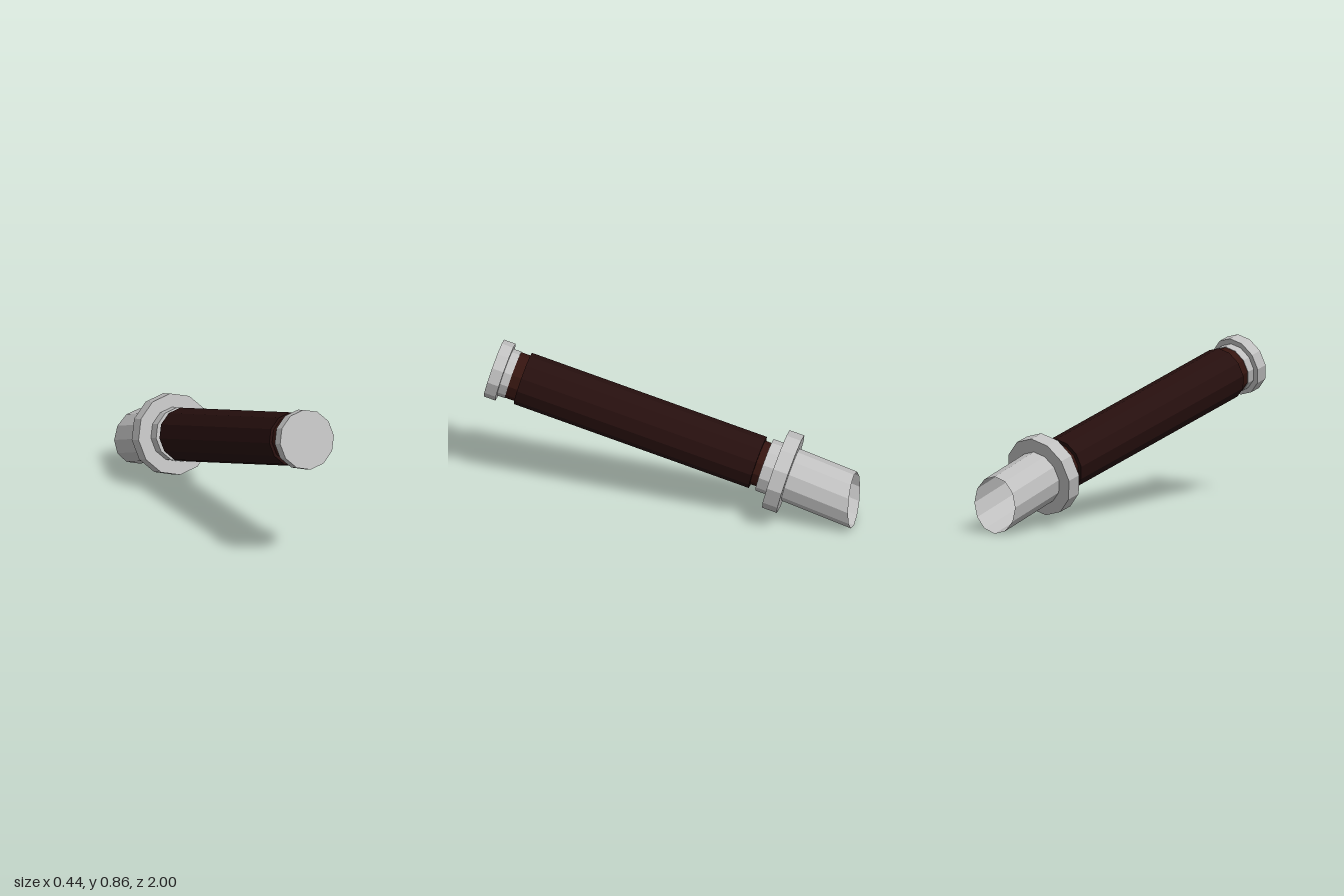
import * as THREE from 'three';

const SIDES = 12;
const TILT = 0.268; // slope of the handle above the horizontal
const AXIS_Y = 0.449; // height of the axis at z = 0

const metal = new THREE.MeshStandardMaterial({ color: 0xc0c0c0, flatShading: true });
metal.name = 'lightMetal';
const tubeMetal = metal.clone();
tubeMetal.name = 'lightMetalOpen';
tubeMetal.side = THREE.DoubleSide;
const rubber = new THREE.MeshStandardMaterial({ color: 0x260f0e, flatShading: true });
rubber.name = 'darkBrownRubber';
const coreRed = new THREE.MeshStandardMaterial({ color: 0x34140f, flatShading: true });
coreRed.name = 'darkRedCore';

// A faceted disc or rod between two distances along the tilted axis
function section(name, radius, from, to, material) {
  const geometry = new THREE.CylinderGeometry(radius, radius, to - from, SIDES);
  geometry.translate(0, (from + to) / 2, 0);
  const mesh = new THREE.Mesh(geometry, material);
  mesh.name = name;
  return mesh;
}

// Open tube leaving the flange and cut upright at the back
function rearTube() {
  const geometry = new THREE.CylinderGeometry(1, 1, 1, SIDES, 1, true);
  const p = geometry.attributes.position;
  const r = 0.146;
  const z0 = -0.6;
  const y0 = AXIS_Y + z0 * Math.tan(TILT);
  for (let i = 0; i < p.count; i++) {
    const x = p.getX(i);
    const up = -p.getZ(i);
    if (p.getY(i) > 0) {
      p.setXYZ(i, r * x, y0 + r * up * Math.cos(TILT), z0 - r * up * Math.sin(TILT));
    } else {
      p.setXYZ(i, r * x, 0.155 + 0.153 * up, -1);
    }
  }
  geometry.computeVertexNormals();
  const mesh = new THREE.Mesh(geometry, tubeMetal);
  mesh.name = 'rearTube';
  return mesh;
}

export function createModel() {
  const model = new THREE.Group();
  model.name = 'handleGrip';

  const handle = new THREE.Group();
  handle.name = 'handle';
  handle.position.y = AXIS_Y;
  handle.rotation.x = Math.PI / 2 - TILT;
  handle.add(
    section('endCap', 0.16, 0.93, 0.995, metal),
    section('endCapNeck', 0.131, 0.885, 0.93, metal),
    section('frontCore', 0.128, 0.832, 0.885, coreRed),
    section('grip', 0.144, -0.494, 0.832, rubber),
    section('rearCore', 0.122, -0.532, -0.494, coreRed),
    section('collar', 0.145, -0.596, -0.532, metal),
    section('flange', 0.218, -0.679, -0.596, metal)
  );

  model.add(handle, rearTube());
  return model;
}
